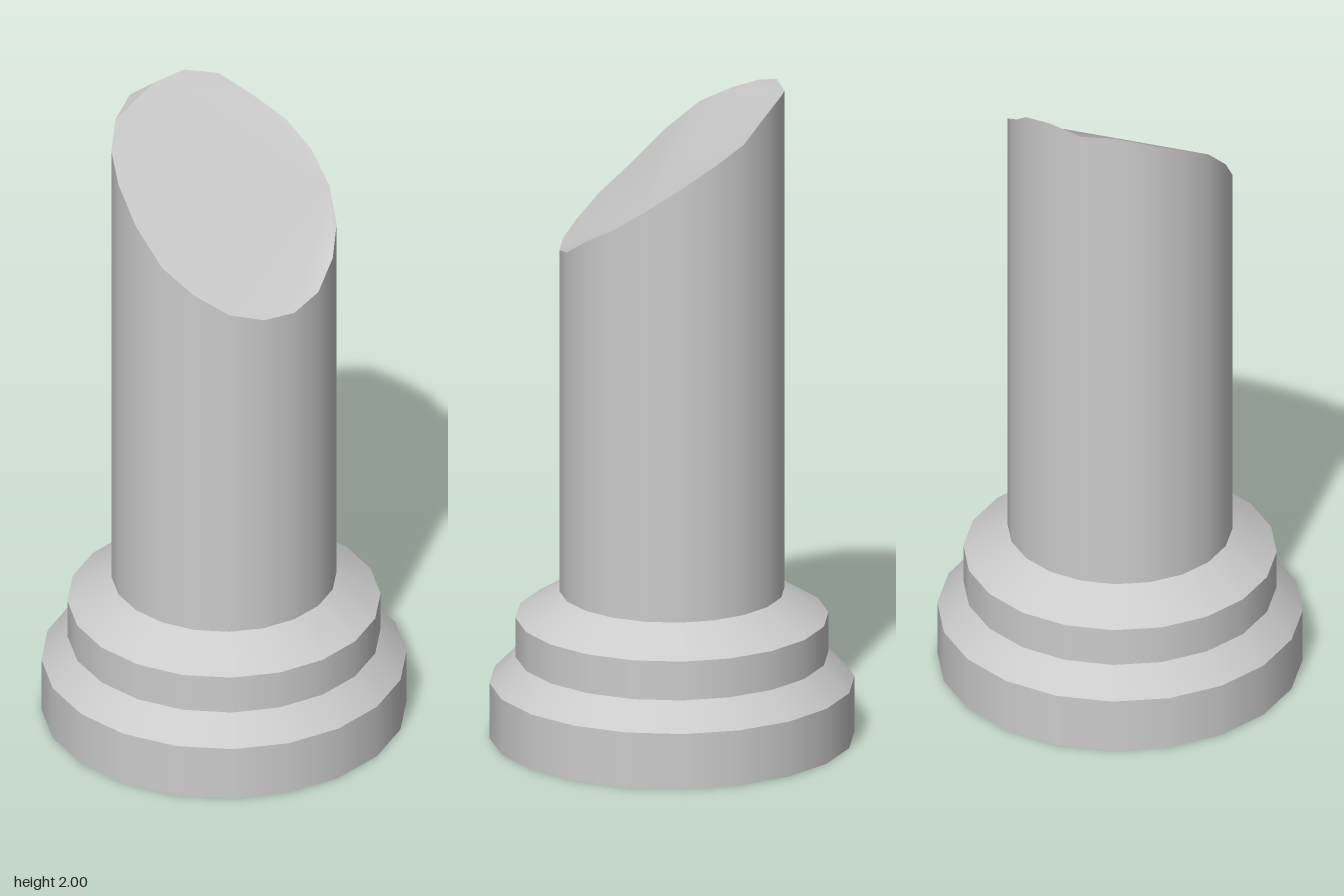
import * as THREE from 'three';

const SIDES = 20;
const RADIUS = 0.333;
const SHAFT_BASE = 0.45;

// Height of the broken rim at each side, counter-clockwise from +x towards the back
const RIM = [1.59, 1.645, 1.715, 1.785, 1.85, 1.905, 1.975, 2.0, 1.985, 1.99,
  1.96, 1.915, 1.86, 1.77, 1.67, 1.6, 1.54, 1.51, 1.505, 1.53];

const material = new THREE.MeshStandardMaterial({ color: 0xcccccc });

function addMesh(group, name, geometry) {
  const mesh = new THREE.Mesh(geometry, material);
  mesh.name = name;
  group.add(mesh);
}

// Open ring between two heights
function band(y0, y1, r0, r1) {
  return new THREE.CylinderGeometry(r1, r0, y1 - y0, SIDES, 1, true).translate(0, (y0 + y1) / 2, 0);
}

// Surface spanning the given rim points as a fan from the first one
function rimFan(ids) {
  const points = ids.map((i) => {
    const a = (i / SIDES) * Math.PI * 2;
    return new THREE.Vector3(RADIUS * Math.cos(a), RIM[i], -RADIUS * Math.sin(a));
  });
  const index = [];
  for (let i = 1; i < ids.length - 1; i++) index.push(0, i, i + 1);
  const geometry = new THREE.BufferGeometry().setFromPoints(points);
  geometry.setIndex(index);
  geometry.computeVertexNormals();
  return geometry;
}

export function createModel() {
  const group = new THREE.Group();
  group.name = 'brokenColumn';

  // Stepped base
  addMesh(group, 'plinth', band(0, 0.17, 0.54, 0.54));
  addMesh(group, 'plinthSlope', band(0.17, 0.25, 0.54, 0.463));
  addMesh(group, 'collar', band(0.25, 0.37, 0.463, 0.463));
  addMesh(group, 'collarSlope', band(0.37, SHAFT_BASE, 0.463, RADIUS));
  addMesh(group, 'underside', new THREE.CircleGeometry(0.54, SIDES).rotateX(Math.PI / 2));

  // Shaft, with its upper ring moved to the broken rim
  const shaft = band(SHAFT_BASE, 1.5, RADIUS, RADIUS);
  const pos = shaft.attributes.position;
  for (let i = 0; i < pos.count; i++) {
    if (pos.getY(i) < 1) continue;
    const turn = Math.atan2(-pos.getZ(i), pos.getX(i)) / (Math.PI * 2);
    pos.setY(i, RIM[(Math.round(turn * SIDES) + SIDES) % SIDES]);
  }
  addMesh(group, 'shaft', shaft);

  // Broken face and the steep chips along its high edge
  addMesh(group, 'brokenFace', rimFan([2, 3, 4, 5, 8, 10, 11, 12, 13, 14, 15, 16, 17, 18, 19, 0, 1]));
  addMesh(group, 'backChip', rimFan([5, 6, 7, 8]));
  addMesh(group, 'sideChip', rimFan([8, 9, 10]));

  return group;
}
